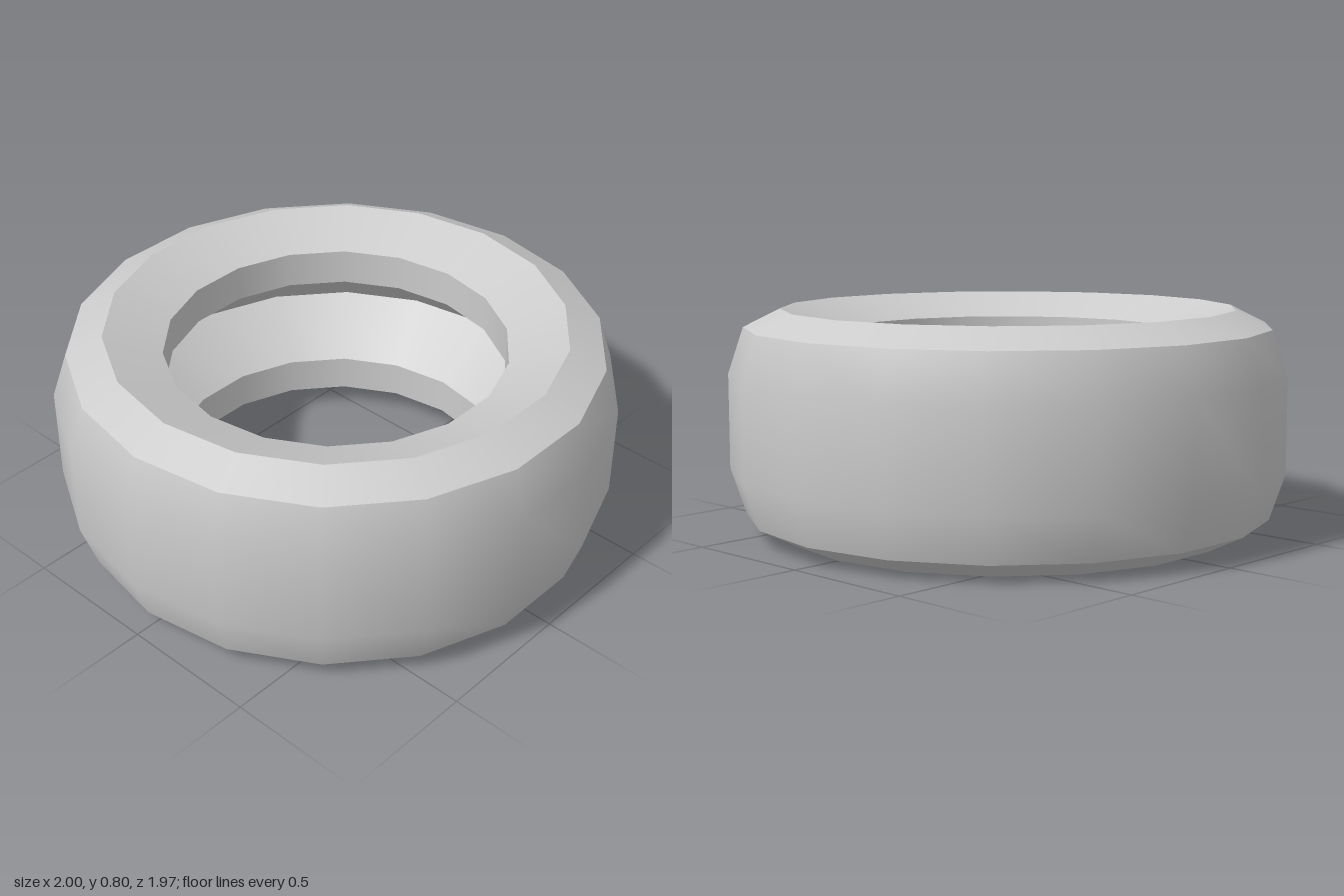
import * as THREE from 'three';
import { mergeGeometries } from 'three/addons/utils/BufferGeometryUtils.js';

const SIDES = 18;

// Each strip is a smooth band of [radius, height]; the joints between strips stay sharp.
const STRIPS = [
  [[0.815, 0], [0.945, 0.065]],                            // lower shoulder
  [[0.945, 0.065], [1, 0.23], [1, 0.57], [0.945, 0.735]],  // tread
  [[0.945, 0.735], [0.815, 0.8]],                          // upper shoulder
  [[0.815, 0.8], [0.61, 0.715]],                           // upper sidewall, dished inward
  [[0.61, 0.715], [0.61, 0.58]],                           // upper bead
  [[0.61, 0.58], [0.82, 0.4]],                             // inner groove, upper slope
  [[0.82, 0.4], [0.61, 0.22]],                             // inner groove, lower slope
  [[0.61, 0.22], [0.61, 0.085]],                           // lower bead
  [[0.61, 0.085], [0.815, 0]],                             // lower sidewall, dished inward
];

function ring(points) {
  const profile = points.map(([r, y]) => new THREE.Vector2(r, y));
  return new THREE.LatheGeometry(profile, SIDES, Math.PI / SIDES);
}

export function createModel() {
  const group = new THREE.Group();
  group.name = 'tyreModel';
  const tyre = new THREE.Mesh(
    mergeGeometries(STRIPS.map(ring)),
    new THREE.MeshStandardMaterial({ color: 0xcccccc })
  );
  tyre.name = 'tyre';
  group.add(tyre);
  return group;
}
